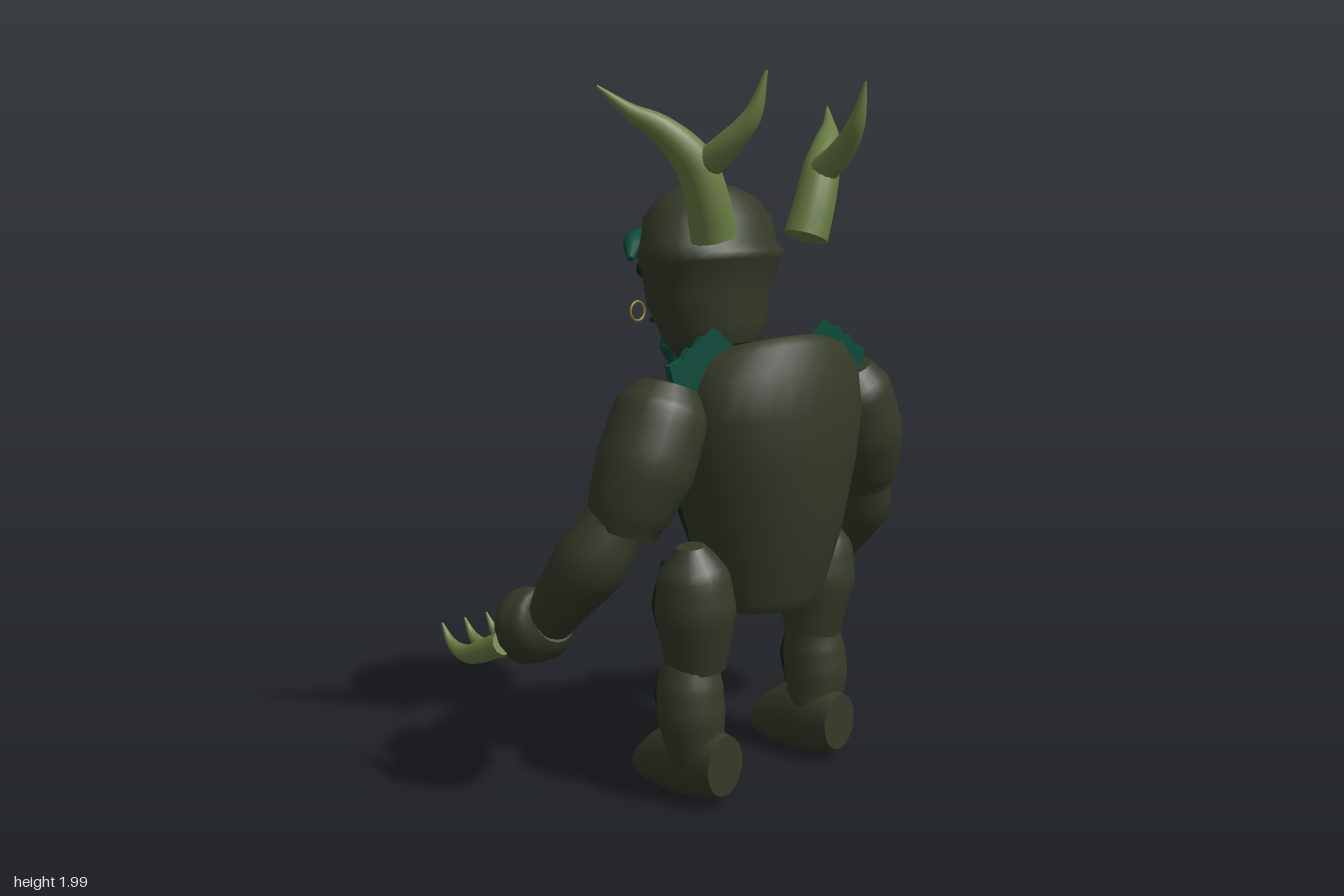
import * as THREE from 'three';

const mat = (name, color) => {
  const m = new THREE.MeshStandardMaterial({ color });
  m.name = name;
  return m;
};
const V = (x, y, z) => new THREE.Vector3(x, y, z);

// Skin over a row of rings { c, u, v }, with both ends capped
function skin(rings, seg) {
  const pos = [], idx = [];
  const point = (r, i) => {
    const a = (i % seg) / seg * Math.PI * 2;
    return r.c.clone().addScaledVector(r.u, Math.cos(a)).addScaledVector(r.v, Math.sin(a));
  };
  rings.forEach((r, k) => {
    for (let i = 0; i < seg; i++) {
      pos.push(...point(r, i).toArray());
      if (k === 0) continue;
      const j = (i + 1) % seg, a = (k - 1) * seg, b = k * seg;
      idx.push(a + i, a + j, b + j, a + i, b + j, b + i);
    }
  });
  [[rings[0], true], [rings[rings.length - 1], false]].forEach(([r, flip]) => {
    const n = pos.length / 3;
    pos.push(...r.c.toArray());
    for (let i = 0; i < seg; i++) pos.push(...point(r, i).toArray());
    for (let i = 0; i < seg; i++) {
      const a = n + 1 + i, b = n + 1 + (i + 1) % seg;
      flip ? idx.push(n, b, a) : idx.push(n, a, b);
    }
  });
  const g = new THREE.BufferGeometry();
  g.setAttribute('position', new THREE.Float32BufferAttribute(pos, 3));
  g.setIndex(idx);
  g.computeVertexNormals();
  return g;
}

// Stacked ellipses: [y, centre z, half width, half depth, tilt, centre x]
function stack(rows, seg = 28) {
  return skin(rows.map(([y, cz, rx, rz, tilt = 0, cx = 0]) => ({
    c: V(cx, y, cz), u: V(rx, 0, 0), v: V(0, -tilt * rz, -rz),
  })), seg);
}

// Tube of changing radius along points [x, y, z, radius]
function limb(points, seg = 14, steps = 14) {
  const curve = new THREE.CatmullRomCurve3(points.map(p => V(p[0], p[1], p[2])));
  const frames = curve.computeFrenetFrames(steps);
  const rings = [];
  for (let k = 0; k <= steps; k++) {
    const t = k / steps * (points.length - 1);
    const i = Math.min(Math.floor(t), points.length - 2);
    const r = THREE.MathUtils.lerp(points[i][3], points[i + 1][3], t - i);
    rings.push({
      c: curve.getPoint(k / steps),
      u: frames.normals[k].clone().multiplyScalar(r),
      v: frames.binormals[k].clone().multiplyScalar(r),
    });
  }
  return skin(rings, seg);
}

const TORSO = [
  [0.54, 0.19, 0.165, 0.13], [0.57, 0.19, 0.185, 0.15], [0.75, 0.19, 0.24, 0.2],
  [0.95, 0.19, 0.295, 0.228], [1.08, 0.2, 0.318, 0.22, 0.08], [1.18, 0.2, 0.308, 0.205, 0.2],
  [1.24, 0.19, 0.265, 0.18, 0.3], [1.27, 0.18, 0.205, 0.14, 0.3],
];

// Depth of the chest surface at a given x and y
function chestZ(x, y) {
  let k = 0;
  while (k < TORSO.length - 2 && TORSO[k + 1][0] < y) k++;
  const a = TORSO[k], b = TORSO[k + 1];
  const t = Math.min(1, (y - a[0]) / (b[0] - a[0]));
  const [cz, rx, rz] = [1, 2, 3].map(i => a[i] + (b[i] - a[i]) * t);
  return cz - rz * Math.sqrt(Math.max(0.05, 1 - (x / rx) ** 2));
}

export function createModel() {
  const hide = mat('dark olive hide', 0x343a28);
  const horn = mat('pale olive horn', 0x6a7c43);
  const teal = mat('teal hair', 0x0e4a3a);
  const vine = mat('deep green vine', 0x0b2611);
  const gold = mat('old gold', 0x85752f);
  const model = new THREE.Group();
  model.name = 'hornedCreature';
  const add = (name, geo, m) => {
    const mesh = new THREE.Mesh(geo, m);
    mesh.name = name;
    model.add(mesh);
    return mesh;
  };
  const ball = (name, m, p, s) => {
    const b = add(name, new THREE.SphereGeometry(1, 18, 12), m);
    b.position.set(...p);
    b.scale.set(...s);
  };
  const ring = (name, p, r) =>
    add(name, new THREE.TorusGeometry(r, 0.004, 6, 24), gold).position.set(...p);

  add('torso', stack(TORSO), hide);
  add('head', stack([
    [1.24, 0.01, 0.12, 0.1, 0.4], [1.3, 0, 0.17, 0.13, 0.35], [1.4, -0.035, 0.198, 0.158, 0.2],
    [1.5, -0.025, 0.225, 0.178, 0.1], [1.53, -0.025, 0.24, 0.185, 0.05], [1.56, -0.033, 0.225, 0.168],
    [1.63, -0.037, 0.208, 0.162], [1.69, -0.04, 0.155, 0.125], [1.72, -0.04, 0.085, 0.07],
    [1.73, -0.04, 0.02, 0.02],
  ]), hide);

  // Centre of the face and chest
  add('nose', limb([[0, 1.53, -0.195, 0.018], [0, 1.47, -0.225, 0.03], [0, 1.41, -0.247, 0.045],
    [0, 1.365, -0.235, 0.02]]), horn);
  add('mouth', limb([[-0.1, 1.335, -0.17, 0.008], [0, 1.337, -0.22, 0.013], [0.1, 1.335, -0.17, 0.008]]), vine);
  ball('pendantGem', teal, [0, 1.05, -0.085], [0.026, 0.04, 0.016]);
  ring('pendantRing', [0, 1.045, -0.06], 0.055);

  for (const s of [1, -1]) {
    const tube = (name, m, pts, seg, steps) =>
      add(name, limb(pts.map(([x, y, z, r]) => [x * s, y, z, r]), seg, steps), m);

    // Antler with two tines
    tube('antlerBeam', horn, [[0.19, 1.575, 0.17, 0.065], [0.225, 1.68, 0.175, 0.06], [0.265, 1.775, 0.165, 0.055],
      [0.345, 1.86, 0.12, 0.037], [0.405, 1.9, 0.075, 0.022], [0.47, 1.965, 0.015, 0.004]], 16, 20);
    tube('antlerTine', horn, [[0.245, 1.76, 0.18, 0.045], [0.235, 1.815, 0.26, 0.037],
      [0.215, 1.89, 0.33, 0.025], [0.205, 2, 0.368, 0.004]]);

    // Face
    ball('eyeSocket', vine, [0.085 * s, 1.485, -0.178], [0.062, 0.038, 0.034]);
    ball('eye', horn, [0.085 * s, 1.483, -0.2], [0.042, 0.02, 0.018]);
    tube('brow', teal, [[0.02, 1.545, -0.215, 0.014], [0.09, 1.567, -0.225, 0.033],
      [0.17, 1.552, -0.17, 0.033], [0.24, 1.515, -0.11, 0.008]]);
    tube('beardTuft', teal, [[0.095, 1.315, -0.115, 0.01], [0.08, 1.265, -0.115, 0.033],
      [0.06, 1.19, -0.11, 0.012]]);
    ring('mouthRing', [0.115 * s, 1.36, -0.215], 0.028);

    // Arm
    tube('upperArm', hide, [[0.37, 1.185, 0.17, 0.085], [0.395, 1.12, 0.172, 0.128],
      [0.455, 0.98, 0.17, 0.133], [0.495, 0.87, 0.148, 0.112], [0.512, 0.81, 0.14, 0.09]], 22, 18);
    tube('forearm', hide, [[0.52, 0.85, 0.13, 0.08], [0.565, 0.74, 0.085, 0.102],
      [0.59, 0.64, 0.01, 0.085], [0.595, 0.55, -0.06, 0.065]], 20);
    tube('hand', hide, [[0.595, 0.56, -0.04, 0.065], [0.595, 0.54, -0.08, 0.1],
      [0.597, 0.52, -0.16, 0.106], [0.6, 0.515, -0.21, 0.07]], 18, 9);
    for (const x of [0.53, 0.607, 0.685]) {
      tube('claw', horn, [[x, 0.49, -0.15, 0.034], [x + 0.005, 0.45, -0.235, 0.033],
        [x, 0.425, -0.32, 0.025], [x - 0.004, 0.44, -0.39, 0.015], [x, 0.492, -0.427, 0.003]], 10);
    }

    // Leg and foot
    tube('thigh', hide, [[0.28, 0.74, 0.165, 0.04], [0.27, 0.67, 0.165, 0.1], [0.262, 0.56, 0.165, 0.115],
      [0.255, 0.46, 0.16, 0.096], [0.25, 0.395, 0.155, 0.085]], 20);
    tube('shin', hide, [[0.255, 0.42, 0.15, 0.075], [0.268, 0.34, 0.15, 0.094], [0.27, 0.26, 0.157, 0.097],
      [0.255, 0.13, 0.165, 0.075]], 20);
    add('foot', skin([[0.268, 0.13, 0.07, 0.085], [0.2, 0.125, 0.078, 0.105], [0.1, 0.122, 0.08, 0.112],
      [0, 0.095, 0.077, 0.077], [-0.045, 0.08, 0.06, 0.048], [-0.062, 0.08, 0.03, 0.025]].map(([z, y, rx, ry]) => ({
      c: V(0.25 * s, y, z), u: V(-rx, 0, 0), v: V(0, ry, 0),
    })), 20), hide);

    // Feathered shoulder plate
    const fan = new THREE.Shape([[0.16, 1.28], [0.235, 1.335], [0.27, 1.31], [0.285, 1.318], [0.315, 1.285],
      [0.335, 1.29], [0.36, 1.262], [0.41, 1.245], [0.38, 1.15], [0.27, 1.13]].map(([x, y]) => new THREE.Vector2(x * s, y)));
    add('shoulderFeathers', new THREE.ExtrudeGeometry(fan, { depth: 0.02, bevelEnabled: false }), teal)
      .position.z = 0.2;

    // Vines hanging over the chest
    [[0.095, 1.21, 0.79], [0.15, 1.25, 0.74], [0.205, 1.23, 0.72], [0.258, 1.2, 0.78]].forEach(([x, top, low]) => {
      const pts = [0, 0.25, 0.5, 0.75, 1].map((t, i) => {
        const y = top + (low - top) * t, px = x * (1 - 0.18 * t);
        return [px, y, chestZ(px, y) - 0.004, [0.012, 0.026, 0.03, 0.024, 0.006][i]];
      });
      tube('chestVine', vine, pts, 10);
    });

    // Vines along the front of each limb
    const limbVines = [
      [[0.36, 1.17, 0.08], [0.4, 1.06, 0.042], [0.44, 0.95, 0.048]],
      [[0.46, 1.12, 0.085], [0.5, 1.01, 0.058], [0.52, 0.88, 0.065]],
      [[0.5, 0.81, 0.045], [0.525, 0.73, -0.005], [0.55, 0.63, -0.065]],
      [[0.575, 0.81, 0.035], [0.605, 0.72, -0.012], [0.61, 0.62, -0.07]],
      [[0.22, 0.67, 0.085], [0.215, 0.55, 0.062], [0.22, 0.43, 0.072]],
      [[0.3, 0.69, 0.08], [0.305, 0.56, 0.06], [0.285, 0.43, 0.07]],
      [[0.235, 0.4, 0.08], [0.24, 0.31, 0.06], [0.235, 0.2, 0.075]],
      [[0.295, 0.4, 0.085], [0.305, 0.31, 0.066], [0.295, 0.2, 0.08]],
    ];
    for (const path of limbVines) {
      tube('limbVine', vine, path.map((p, i) => [...p, [0.005, 0.017, 0.004][i]]), 8, 10);
    }
  }
  return model;
}
